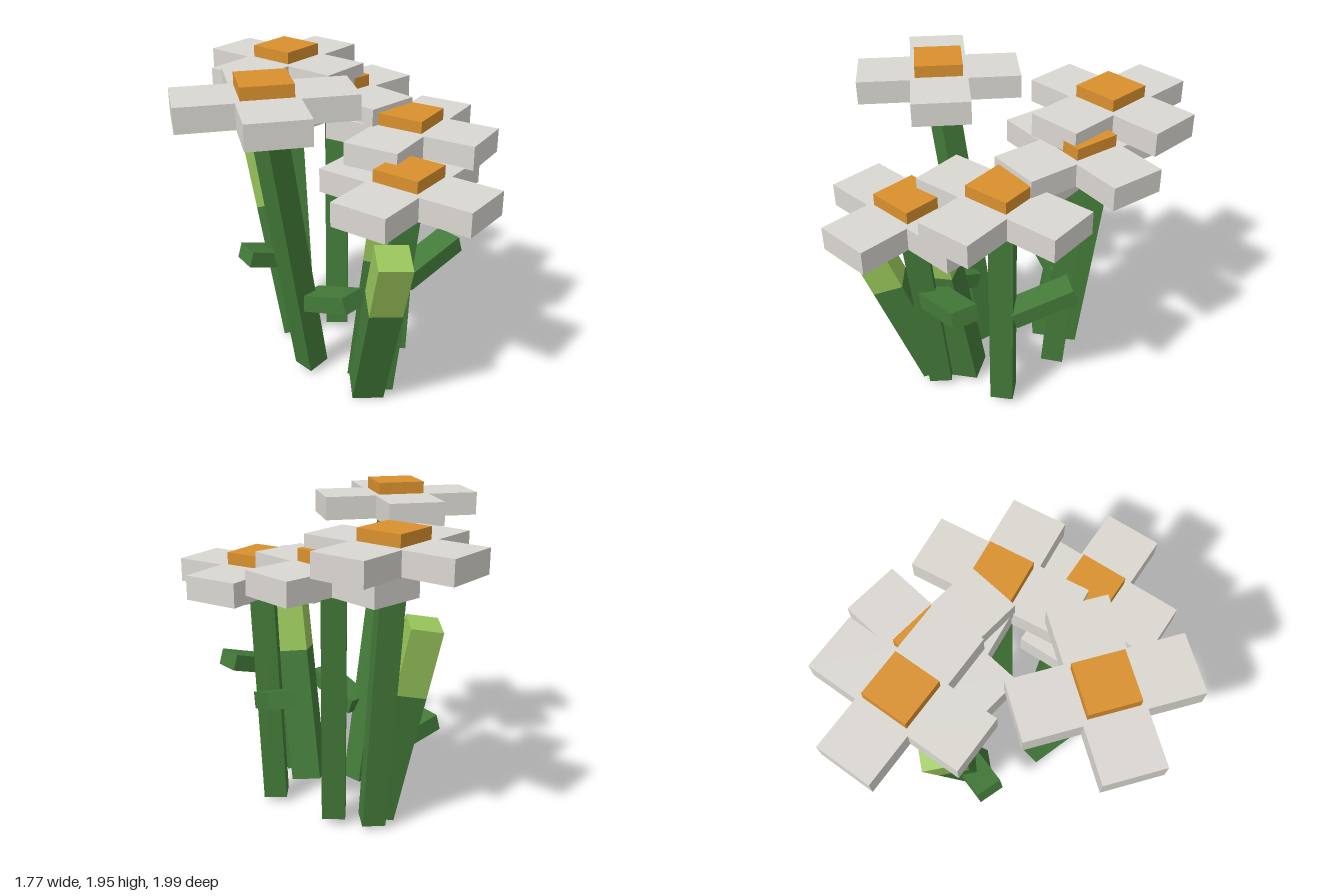
import * as THREE from 'three';

const mat = (name, color) => {
  const m = new THREE.MeshStandardMaterial({ color });
  m.name = name;
  return m;
};

export function createModel() {
  const white = mat('petalWhite', 0xdad7d1);
  const orange = mat('centreOrange', 0xd9902e);
  const green = mat('stemGreen', 0x437a39);
  const lime = mat('budLime', 0x98c45a);

  const model = new THREE.Group();
  model.name = 'flowerBunch';
  const V = (p) => new THREE.Vector3(...p);

  // Square beam running from point a to point b, twisted about its own axis
  function beam(parent, name, material, a, b, width, depth, twist = 0) {
    const from = V(a), to = V(b), dir = to.clone().sub(from);
    const geometry = new THREE.BoxGeometry(width, dir.length(), depth);
    geometry.rotateY(THREE.MathUtils.degToRad(twist));
    const mesh = new THREE.Mesh(geometry, material);
    mesh.quaternion.setFromUnitVectors(new THREE.Vector3(0, 1, 0), dir.normalize());
    mesh.position.copy(from).add(to).multiplyScalar(0.5);
    mesh.name = name;
    parent.add(mesh);
  }

  // Flat cross of petals, one outline so no faces overlap
  const r = 0.472, h = 0.166, cross = new THREE.Shape();
  [[h, h], [h, r], [-h, r], [-h, h], [-r, h], [-r, -h], [-h, -h], [-h, -r],
    [h, -r], [h, -h], [r, -h], [r, h]].forEach(([x, y], i) =>
    i ? cross.lineTo(x, y) : cross.moveTo(x, y));
  const petalGeometry = new THREE.ExtrudeGeometry(cross, { depth: 0.138, bevelEnabled: false });
  petalGeometry.rotateX(-Math.PI / 2);
  const centreGeometry = new THREE.BoxGeometry(0.277, 0.223, 0.277);

  // Blooms: head position (underside of petals), turn, stem foot, stem twist
  const blooms = [
    { head: [-0.387, 1.74, 0.492], turn: 14.3, foot: [-0.185, 0.04, 0.22], twist: 45 },
    { head: [-0.357, 1.64, -0.52], turn: -37, foot: [-0.27, 0.035, -0.32], twist: 10 },
    { head: [-0.042, 1.495, -0.385], turn: 45, foot: [-0.04, 0.045, -0.27], twist: 0 },
    { head: [0.394, 1.395, -0.012], turn: -30, foot: [0.335, 0.035, 0], twist: 0 },
    { head: [0.366, 1.263, 0.505], turn: -35, foot: [0.235, 0.03, 0.42], twist: 8 },
  ];
  for (const { head, turn, foot, twist } of blooms) {
    const flower = new THREE.Group();
    flower.name = 'flower';
    const top = new THREE.Group();
    top.name = 'flowerHead';
    top.position.set(...head);
    top.rotation.y = THREE.MathUtils.degToRad(turn);
    const petals = new THREE.Mesh(petalGeometry, white);
    petals.name = 'petals';
    const centre = new THREE.Mesh(centreGeometry, orange);
    centre.name = 'flowerCentre';
    centre.position.y = 0.0965;
    top.add(petals, centre);
    flower.add(top);
    beam(flower, 'stem', green, foot, [head[0], head[1] + 0.04, head[2]], 0.14, 0.14, twist);
    model.add(flower);
  }

  // Closed buds: green sheath below, lime tip above
  const buds = [
    { foot: [0.155, 0.035, 0.46], tip: [0.285, 1.1, 0.825], twist: 8 },
    { foot: [-0.3, 0.03, -0.19], tip: [-0.54, 1.29, -0.385], twist: 8 },
    { foot: [0.145, 0.03, 0.265], tip: [0.275, 1.29, 0.43], twist: -8 },
  ];
  for (const { foot, tip, twist } of buds) {
    const bud = new THREE.Group();
    bud.name = 'bud';
    const joint = V(foot).lerp(V(tip), 0.675).toArray();
    beam(bud, 'budStem', green, foot, joint, 0.185, 0.185, twist);
    beam(bud, 'budTip', lime, joint, tip, 0.185, 0.185, twist);
    model.add(bud);
  }

  // Leaves: flat slabs reaching outward from the stems
  const leaves = [
    { root: [-0.3, 0.5, -0.3], tip: [-0.61, 0.61, -0.095] },
    { root: [-0.18, 0.53, 0.29], tip: [0.08, 0.66, 0.53] },
    { root: [0.34, 0.75, 0.42], tip: [0.64, 0.87, 0.16] },
    { root: [0.37, 0.7, -0.06], tip: [0.25, 0.83, -0.4] },
  ];
  for (const { root, tip } of leaves) {
    const d = V(tip).sub(V(root));
    const leaf = new THREE.Mesh(new THREE.BoxGeometry(0.165, 0.1, d.length()), green);
    leaf.name = 'leaf';
    leaf.position.copy(V(root)).addScaledVector(d, 0.5);
    leaf.lookAt(V(tip));
    model.add(leaf);
  }
  return model;
}
